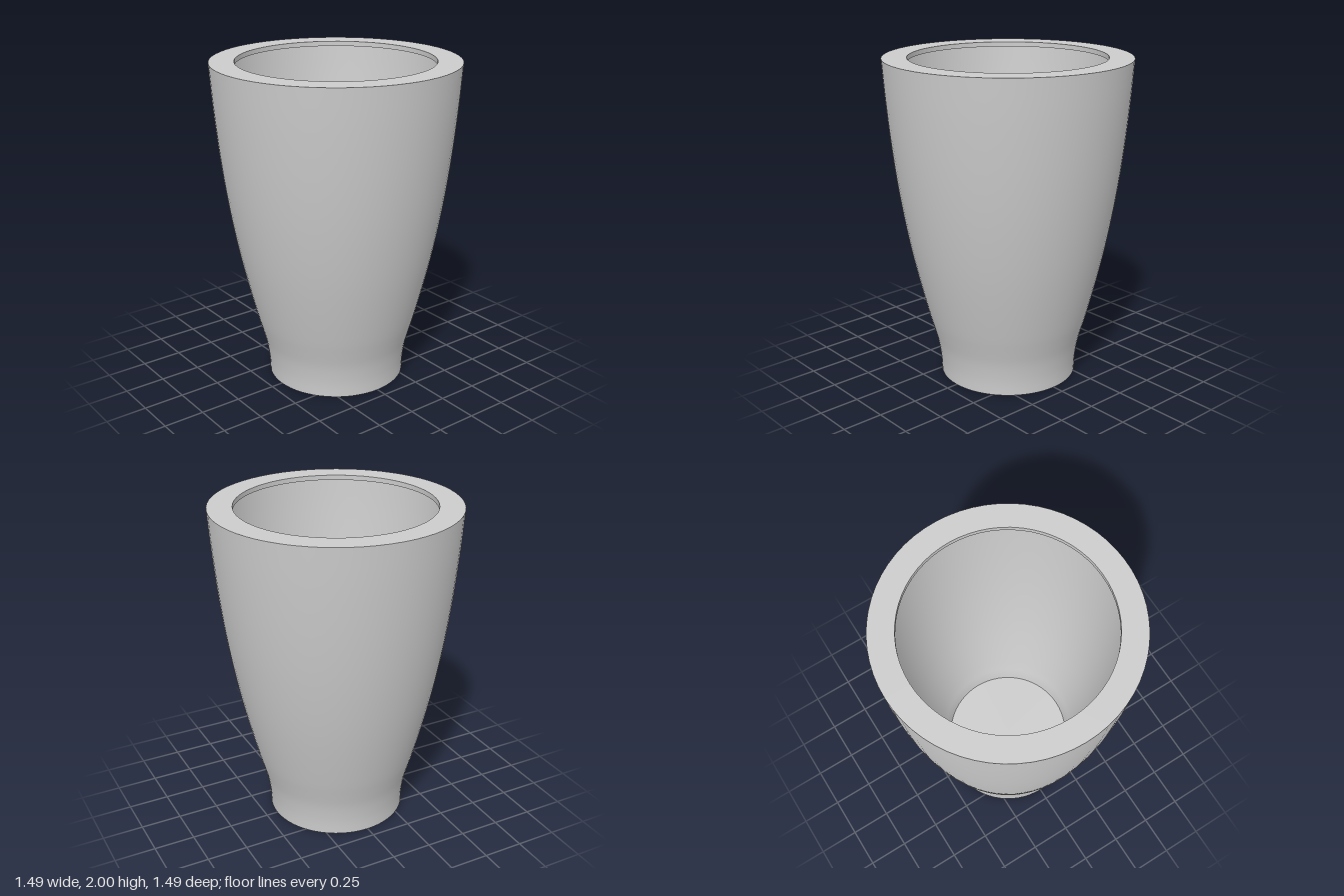
import * as THREE from 'three';

const SEGMENTS = 64;

// Outer wall: radius and height, from foot to rim
const OUTER = [
  [0.427, 0], [0.431, 0.09], [0.447, 0.2], [0.473, 0.3], [0.501, 0.4], [0.551, 0.6], [0.596, 0.8],
  [0.634, 1], [0.666, 1.2], [0.692, 1.4], [0.713, 1.6], [0.73, 1.8], [0.743, 2],
];
const RIM = 0.594;      // radius of the opening
const LIP_Y = 1.97;     // underside of the lip
const FLOOR = 0.394;    // radius of the cavity floor
const FLOOR_Y = 0.23;
const FOOT = 0.34;      // radius of the recess in the foot
const RECESS_Y = 0.07;

const smooth = (points, count) =>
  new THREE.SplineCurve(points.map(([r, y]) => new THREE.Vector2(r, y))).getPoints(count);

export function createModel() {
  const group = new THREE.Group();
  const clay = new THREE.MeshStandardMaterial({ color: 0xcccccc });
  clay.name = 'light grey';

  // Each section is its own lathe, so edges between sections stay sharp
  const add = (name, points) => {
    const profile = points.map((p) => (p.isVector2 ? p : new THREE.Vector2(p[0], p[1])));
    const mesh = new THREE.Mesh(new THREE.LatheGeometry(profile, SEGMENTS), clay);
    mesh.name = name;
    group.add(mesh);
  };

  // Outside
  add('outerWall', smooth(OUTER, 40));
  add('topRim', [[0.743, 2], [RIM, 2]]);
  add('footRing', [[FOOT, 0], [0.427, 0]]);

  // Rounded recess under the foot
  const recess = [[0, RECESS_Y], [0.2, RECESS_Y]];
  for (let i = 0; i <= 8; i++) {
    const a = (i / 8) * Math.PI / 2;
    recess.push([0.27 + (FOOT - 0.27) * Math.sin(a), RECESS_Y * Math.cos(a)]);
  }
  add('footRecess', recess);

  // Inside: lip, then a cavity that follows the outer wall
  const inner = OUTER.filter(([, y]) => y > 0.25 && y < 1.95).map(([r, y]) => [r - 0.065, y]);
  inner.unshift([FLOOR, FLOOR_Y]);
  inner.push([0.676, LIP_Y]);
  add('lipEdge', [[RIM, 2], [RIM, LIP_Y]]);
  add('lipUnderside', [[RIM, LIP_Y], [0.676, LIP_Y]]);
  add('innerWall', smooth(inner, 36).reverse());
  add('cavityFloor', [[FLOOR, FLOOR_Y], [0, FLOOR_Y]]);

  return group;
}
